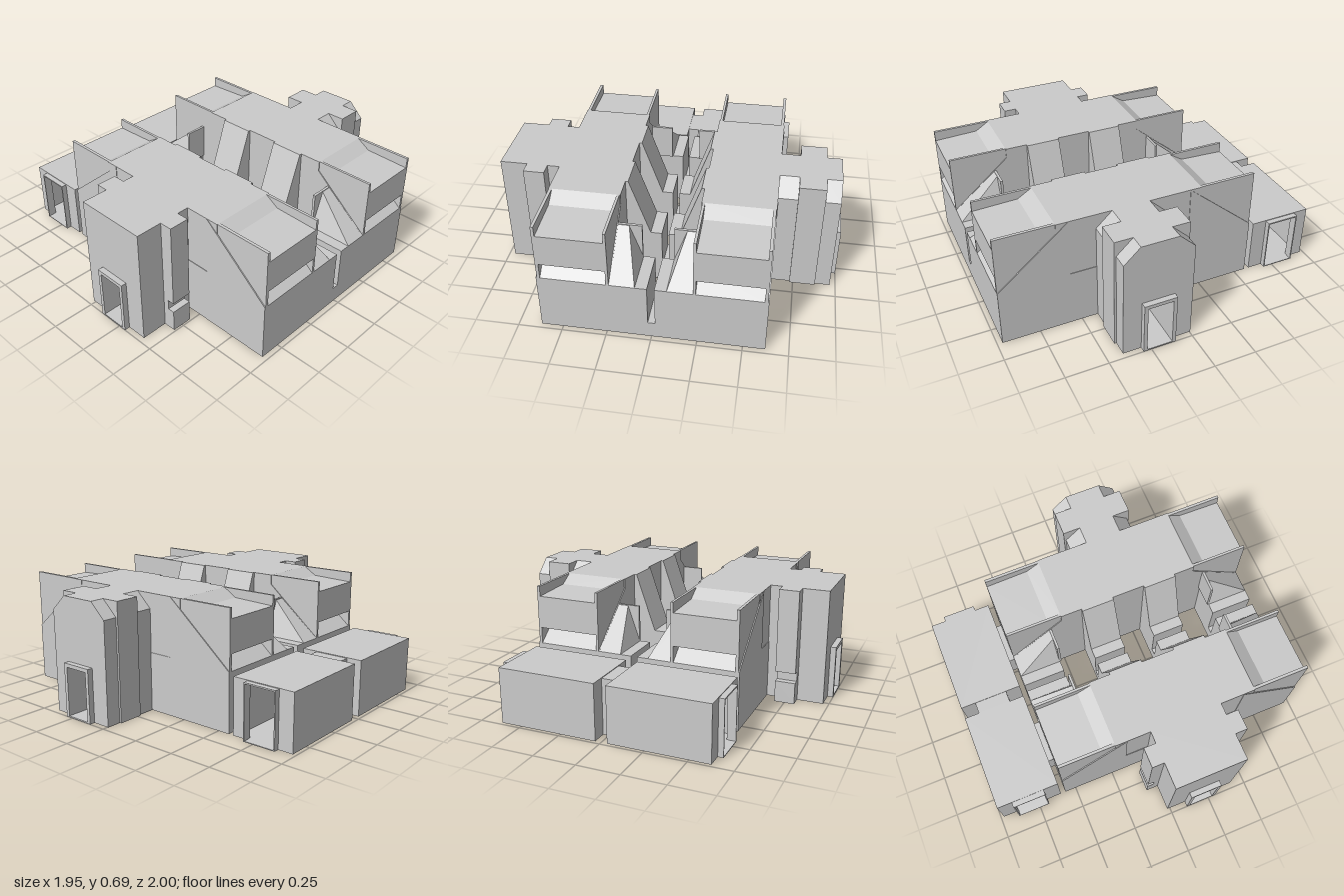
import * as THREE from 'three';
import { ConvexGeometry } from 'three/addons/geometries/ConvexGeometry.js';

const mat = new THREE.MeshStandardMaterial({ color: 0xcccccc, flatShading: true, side: THREE.DoubleSide });

function add(parent, name, geometry) {
  const mesh = new THREE.Mesh(geometry, mat);
  mesh.name = name;
  parent.add(mesh);
  return mesh;
}

// Box given by its limits on each axis
function box(parent, name, x0, x1, y0, y1, z0, z1) {
  const g = new THREE.BoxGeometry(x1 - x0, y1 - y0, z1 - z0);
  g.translate((x0 + x1) / 2, (y0 + y1) / 2, (z0 + z1) / 2);
  return add(parent, name, g);
}

// Profile in the x-y plane, extruded from z0 to z1
function prism(parent, name, points, z0, z1) {
  const shape = new THREE.Shape(points.map(([x, y]) => new THREE.Vector2(x, y)));
  const g = new THREE.ExtrudeGeometry(shape, { depth: z1 - z0, bevelEnabled: false });
  g.translate(0, 0, z0);
  return add(parent, name, g);
}

// Upside-down U: a wall with a doorway cut from the ground up
function archway(parent, name, x, half, height, doorHalf, doorHeight, z0, z1) {
  return prism(parent, name, [
    [x - half, 0], [x - doorHalf, 0], [x - doorHalf, doorHeight], [x + doorHalf, doorHeight],
    [x + doorHalf, 0], [x + half, 0], [x + half, height], [x - half, height],
  ], z0, z1);
}

function hull(parent, name, points) {
  return add(parent, name, new ConvexGeometry(points.map((p) => new THREE.Vector3(...p))));
}

const EAVE = 0.345, TOP = 0.69, END = 0.77;

// One end of a wing: roof slope, dormer, gable fins and hipped corner
function wingEnd() {
  const g = new THREE.Group();
  g.name = 'wingEnd';
  prism(g, 'roofWithDormer', [
    [0.43, EAVE], [END, EAVE], [0.657, 0.44], [END, 0.44], [END, 0.63], [0.51, 0.64], [0.43, TOP],
  ], 0.24, 0.6);
  // gable fins, with the wall below the roof line standing slightly proud
  box(g, 'outerFin', 0.36, END, EAVE, TOP, 0.6, 0.617);
  box(g, 'innerFin', 0.43, END, EAVE, TOP, 0.225, 0.24);
  const gable = [[0.36, EAVE], [END, EAVE], [0.36, TOP]];
  prism(g, 'outerGable', gable, 0.6, 0.623);
  prism(g, 'innerGable', gable, 0.22, 0.24);
  // hipped roof stepping down towards the middle
  hull(g, 'hipRoof', [
    [0.51, EAVE, 0.085], [END, EAVE, 0.085], [END, EAVE, 0.23],
    [0.51, EAVE, 0.23], [0.51, 0.56, 0.16], [0.51, 0.56, 0.23],
  ]);
  box(g, 'courtyardScreen', 0.5, 0.515, EAVE, 0.56, 0.088, 0.23);
  // base storey
  box(g, 'endBase', 0.51, END, 0, EAVE, 0.02, 0.23);
  return g;
}

// One wing with the half corridors that reach to the middle
function wing() {
  const g = new THREE.Group();
  g.name = 'wing';
  box(g, 'baseStorey', -END, END, 0, EAVE, 0.22, 0.623);
  box(g, 'upperStorey', -0.43, 0.43, EAVE, TOP, 0.22, 0.62);
  for (const s of [-1, 1]) {
    const end = wingEnd();
    end.scale.x = s;
    g.add(end);
    const a = s * 0.1, b = s * 0.3;
    box(g, 'corridor', Math.min(a, b), Math.max(a, b), 0, EAVE, 0.02, 0.22);
    hull(g, 'slopedWall', [a, b].flatMap((x) => [[x, EAVE, 0.085], [x, EAVE, 0.225], [x, TOP, 0.225], [x, TOP, 0.205]]));
  }
  return g;
}

// Projecting door surround
function doorFrame(parent, z0, z1) {
  archway(parent, 'doorFrame', 0, 0.097, 0.317, 0.075, 0.295, z0, z1);
  box(parent, 'doorStep', -0.097, 0.097, 0, 0.008, z0, z1);
}

function frontPorch() {
  const g = new THREE.Group();
  g.name = 'frontPorch';
  archway(g, 'porchBody', 0, 0.217, TOP, 0.075, 0.295, 0.62, 0.967);
  box(g, 'porchFloor', -0.217, 0.217, 0, 0.008, 0.62, 0.967);
  doorFrame(g, 0.965, 1);
  // side bays with a narrow slot
  for (const s of [-1, 1]) {
    const side = new THREE.Group();
    side.name = 'sideBay';
    box(side, 'bayFoot', 0.2, 0.29, 0, 0.13, 0.69, 0.81);
    box(side, 'baySlot', 0.2, 0.25, 0.13, 0.19, 0.69, 0.81);
    box(side, 'bayUpper', 0.2, 0.29, 0.19, TOP, 0.69, 0.81);
    side.scale.x = s;
    g.add(side);
  }
  return g;
}

function backPorch() {
  const g = new THREE.Group();
  g.name = 'backPorch';
  archway(g, 'porchBody', 0, 0.11, TOP, 0.075, 0.295, 0.62, 0.967);
  box(g, 'porchFloor', -0.11, 0.11, 0, 0.008, 0.62, 0.967);
  doorFrame(g, 0.965, 1);
  for (const s of [-1, 1]) {
    const side = new THREE.Group();
    side.name = 'porchSide';
    box(side, 'middleBay', 0.1, 0.217, 0, TOP, 0.73, 0.88);
    // corner bays with chamfered roofs
    for (const [z0, z1] of [[0.62, 0.73], [0.88, 0.967]]) {
      prism(side, 'cornerBay', [[0.1, 0], [0.205, 0], [0.205, 0.6], [0.11, TOP], [0.1, TOP]], z0, z1);
    }
    side.scale.x = s;
    g.add(side);
  }
  return g;
}

// Low hollow annex with doorways at both ends
function annex() {
  const g = new THREE.Group();
  g.name = 'annex';
  const x = -0.79;
  archway(g, 'annexShell', x, 0.19, 0.33, 0.165, 0.32, 0.035, 0.623);
  for (const z of [0.035, 0.603]) archway(g, 'annexEndWall', x, 0.19, 0.33, 0.095, 0.318, z, z + 0.02);
  box(g, 'annexFloor', x - 0.19, x + 0.19, 0, 0.005, 0.035, 0.623);
  archway(g, 'annexDoorFrame', x, 0.1, 0.326, 0.093, 0.318, 0.62, 0.655);
  box(g, 'annexDoorStep', x - 0.1, x + 0.1, 0, 0.005, 0.62, 0.655);
  box(g, 'linkPassage', -0.605, -0.565, 0.13, 0.31, 0.22, 0.47);
  return g;
}

export function createModel() {
  const model = new THREE.Group();
  model.name = 'building';

  // main block, symmetric about its own centre line
  const main = new THREE.Group();
  main.name = 'mainBlock';
  main.position.x = 0.2;
  model.add(main);
  for (const s of [-1, 1]) {
    const half = wing();
    half.scale.z = s;
    main.add(half);
    const side = annex();
    side.scale.z = s;
    model.add(side);
  }
  main.add(frontPorch());
  const back = backPorch();
  back.scale.z = -1;
  main.add(back);

  // low sills closing the foot of the slit between the two halves
  for (const [a, b] of [[-END, -0.51], [-0.3, -0.1], [0.1, 0.3], [0.51, END]]) {
    box(main, 'sill', a, b, 0, 0.1, -0.02, 0.02);
  }

  // short passage joining the two annexes
  archway(model, 'annexPassage', -0.79, 0.1, 0.326, 0.093, 0.318, -0.04, 0.04);
  box(model, 'annexPassageFloor', -0.89, -0.69, 0, 0.005, -0.04, 0.04);
  return model;
}
